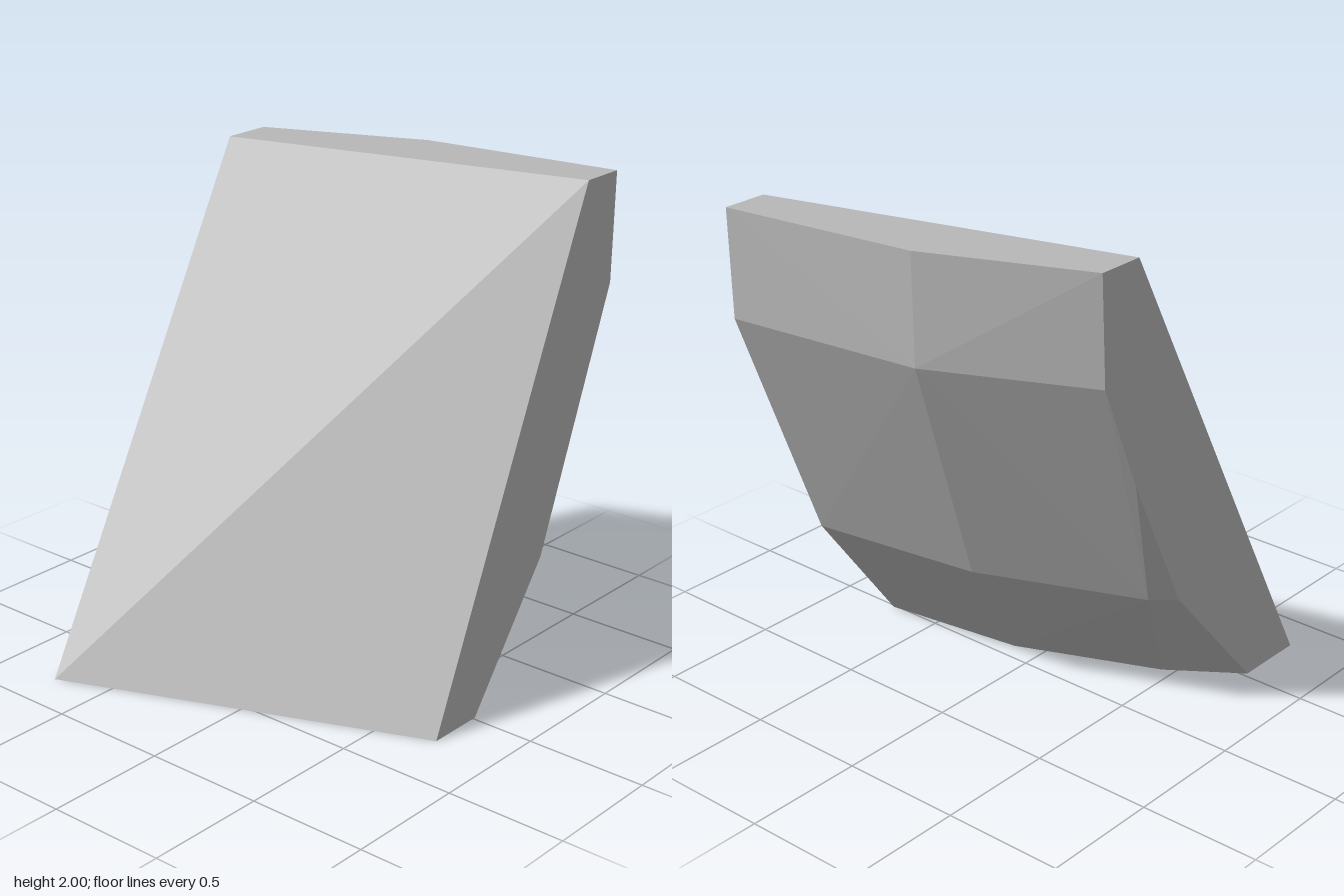
import * as THREE from 'three';
import { ConvexGeometry } from 'three/addons/geometries/ConvexGeometry.js';

// Leaning faceted slab: flat front, straight sides, back cut in bands.
export function createModel() {
  const model = new THREE.Group();
  model.name = 'leaningSlab';

  const grey = new THREE.MeshStandardMaterial({ color: 0xb8b8b8 });
  grey.name = 'grey';

  const half = 0.73;

  // Corners of the creased front face
  const front = [
    [-half, 0, 0.82], [half, 0, 0.23],
    [-half, 2, -0.25], [half, 2, -0.635],
  ];

  // Back facets as rows of [x, z] at each height, from +x to -x
  const backRows = [
    { y: 0, row: [[half, -0.01], [0.125, 0.076], [-0.45, 0.32], [-half, 0.52]] },
    { y: 0.54, row: [[half, -0.41], [0.01, -0.306], [-0.644, -0.038], [-half, 0.04]] },
    { y: 1.12, row: [[-half, -0.24]] },
    { y: 1.56, row: [[half, -0.81], [-0.1, -0.715], [-half, -0.426]] },
    { y: 2, row: [[half, -0.822], [-0.09, -0.715], [-half, -0.45]] },
  ];

  const points = front.map((p) => new THREE.Vector3(...p));
  for (const { y, row } of backRows) {
    for (const [x, z] of row) points.push(new THREE.Vector3(x, y, z));
  }

  // The whole body is one convex, flat-faced block
  const slab = new THREE.Mesh(new ConvexGeometry(points), grey);
  slab.name = 'slab';
  model.add(slab);

  return model;
}
